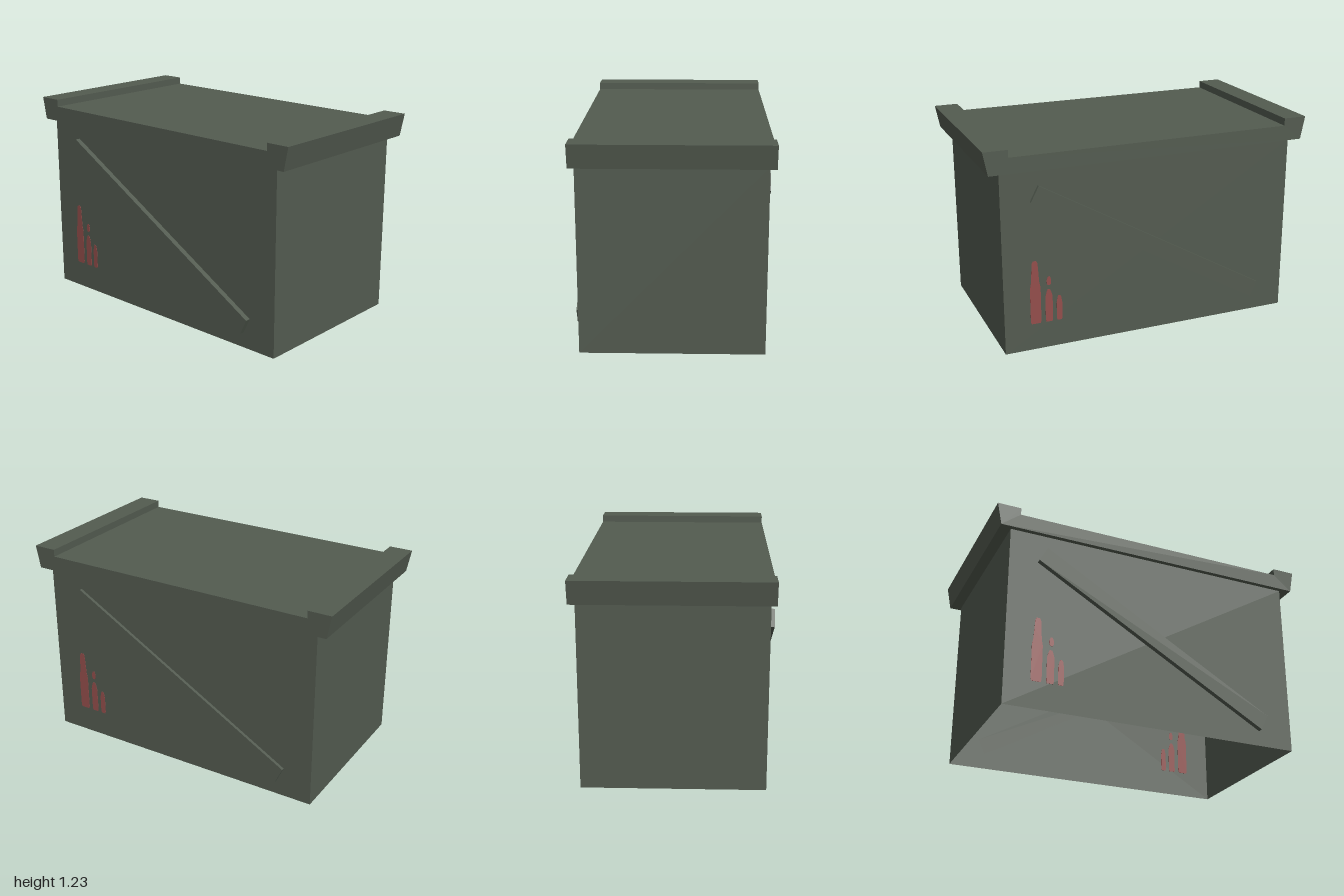
import * as THREE from 'three';

const mat = (name, color) => {
  const m = new THREE.MeshStandardMaterial({ color, side: THREE.DoubleSide });
  m.name = name;
  return m;
};

// Flat outline in x/y, extruded from z0 to z1
function slab(name, points, z0, z1, material) {
  const shape = new THREE.Shape(points.map(([x, y]) => new THREE.Vector2(x, y)));
  const geo = new THREE.ExtrudeGeometry(shape, { depth: z1 - z0, bevelEnabled: false });
  geo.translate(0, 0, z0);
  const mesh = new THREE.Mesh(geo, material);
  mesh.name = name;
  return mesh;
}

export function createModel() {
  const green = mat('dull green', 0x535b50);
  const red = mat('faded red', 0x934e4b);
  const model = new THREE.Group();
  model.name = 'crate';

  const W = 0.907, H = 1.095, D = 0.526;

  // Four thin walls, open underneath
  const walls = new THREE.Group();
  walls.name = 'walls';
  for (let i = 0; i < 4; i++) {
    const side = i % 2 === 1;
    const geo = new THREE.PlaneGeometry(2 * (side ? D : W), H);
    geo.translate(0, H / 2, side ? W : D);
    const wall = new THREE.Mesh(geo, green);
    wall.rotation.y = i * Math.PI / 2;
    wall.name = ['frontWall', 'leftWall', 'backWall', 'rightWall'][i];
    walls.add(wall);
  }
  model.add(walls);

  // Lid with flared ends and raised end rails
  model.add(slab('lid', [
    [-0.973, H], [0.973, H], [1, 1.232], [0.858, 1.232],
    [0.858, 1.188], [-0.858, 1.188], [-0.858, 1.232], [-1, 1.232],
  ], -0.558, 0.554, green));

  // Painted silhouettes: half widths by height, [centre, [[half width, y], ...]]
  const marks = [
    [-0.719, [[0.027, 0.163], [0.032, 0.178], [0.032, 0.385], [0.025, 0.42], [0.021, 0.48], [0.017, 0.54], [0.01, 0.553]]],
    [-0.638, [[0.018, 0.163], [0.022, 0.175], [0.022, 0.32], [0.014, 0.352], [0.007, 0.367]]],
    [-0.636, [[0.007, 0.393], [0.013, 0.403], [0.014, 0.425], [0.006, 0.446]]],
    [-0.575, [[0.013, 0.163], [0.017, 0.175], [0.017, 0.275], [0.011, 0.308], [0.006, 0.318]]],
  ];

  // Brace and markings, repeated on the back turned half round
  const addFace = (name, braceDepth, turn) => {
    const face = new THREE.Group();
    face.name = name;
    face.add(slab('brace', [[-0.735, 0.911], [0.687, 0.093], [0.731, 0.187], [-0.687, 1.002]],
      D, braceDepth, green));
    for (const [cx, half] of marks) {
      const right = half.map(([w, y]) => [cx + w, y]);
      const left = half.map(([w, y]) => [cx - w, y]).reverse();
      // Straddles the wall so the paint shows inside as well
      face.add(slab('paintedMark', [...right, ...left], D - 0.002, D + 0.002, red));
    }
    face.rotation.y = turn;
    model.add(face);
  };
  addFace('frontDetails', 0.558, 0);
  addFace('backDetails', 0.545, Math.PI);

  return model;
}
